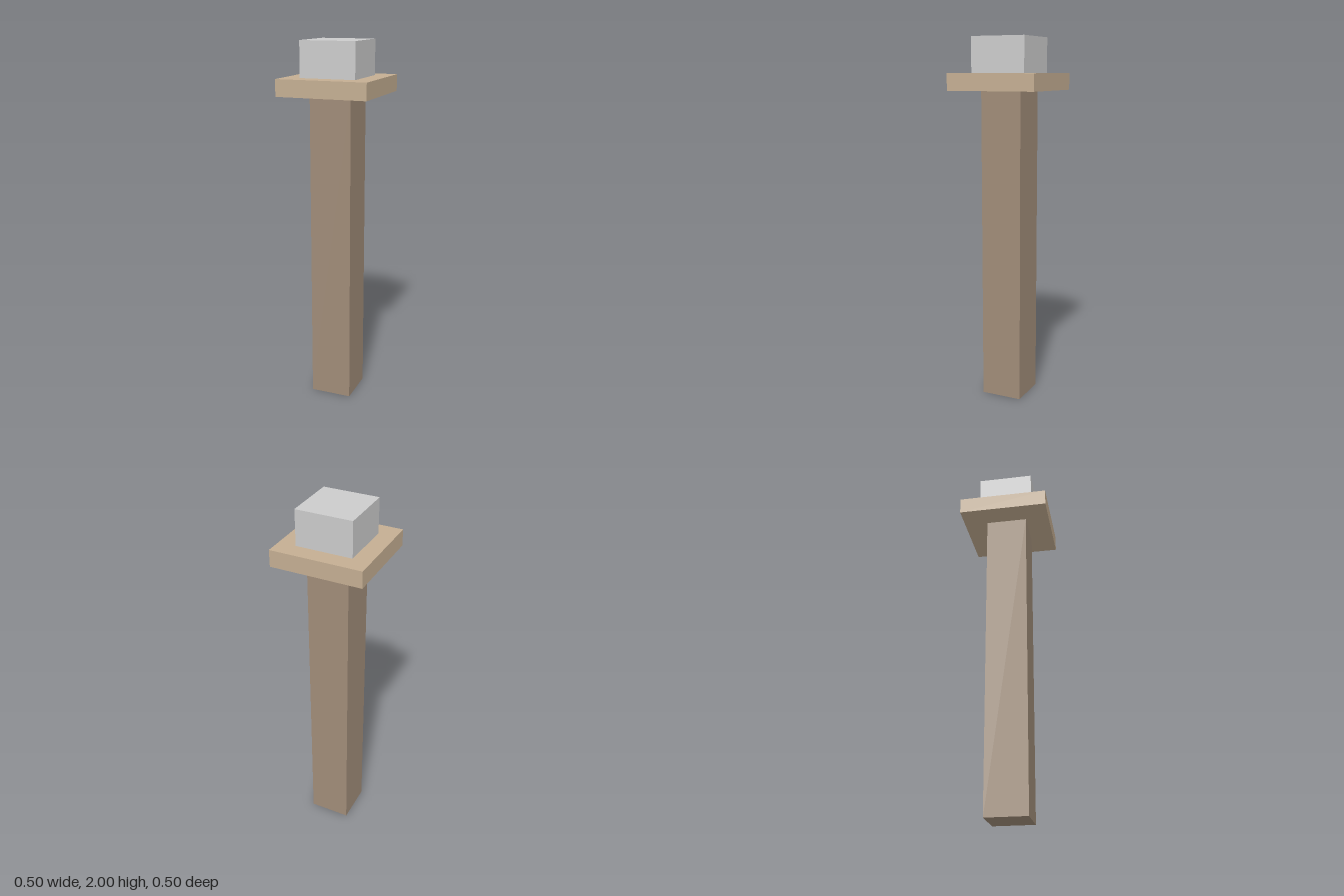
import * as THREE from 'three';

// Square block spanning bottom..top in y, centred on the axis
function block(name, width, bottom, top, color) {
  const material = new THREE.MeshStandardMaterial({ color });
  const mesh = new THREE.Mesh(new THREE.BoxGeometry(width, top - bottom, width), material);
  mesh.position.y = (bottom + top) / 2;
  mesh.name = name;
  return mesh;
}

export function createModel() {
  const model = new THREE.Group();
  model.name = 'squarePost';
  model.add(
    block('post', 0.229, 0, 1.72, 0xa08c78), // tall wooden shaft
    block('collarPlate', 0.495, 1.72, 1.81, 0xc4ae92), // wide plate on the shaft
    block('capBlock', 0.305, 1.81, 2, 0xcccccc) // grey block on top
  );
  return model;
}
